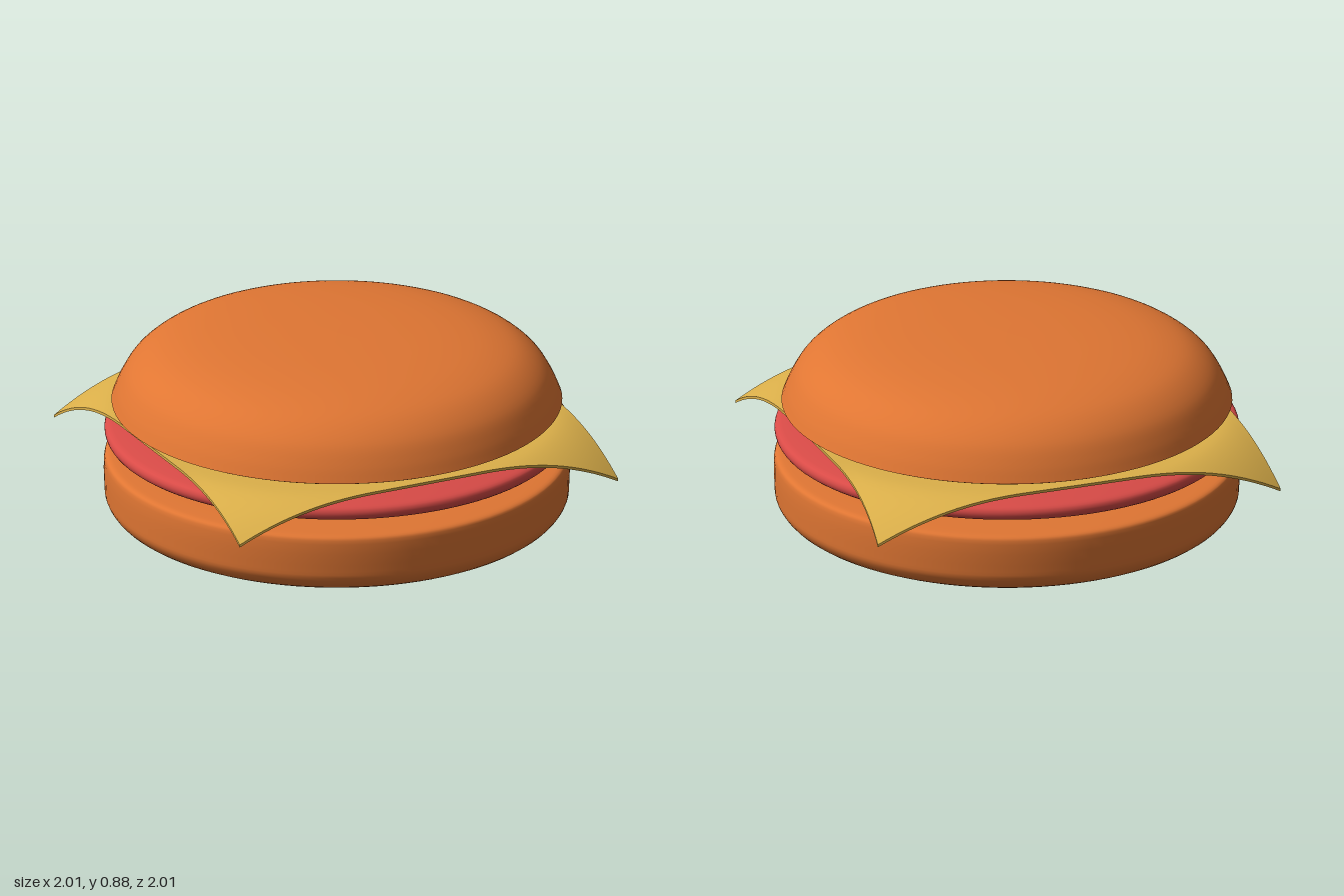
import * as THREE from 'three';

const material = (color) => new THREE.MeshStandardMaterial({ color });

// Smooth curve through a few [radius, y] points.
function curve(points, divisions = 32) {
  const spline = new THREE.CatmullRomCurve3(points.map(([r, y]) => new THREE.Vector3(r, y, 0)), false, 'centripetal');
  return spline.getPoints(divisions).map((p) => new THREE.Vector2(Math.max(p.x, 0), p.y));
}

// A round part made of one lathe per profile piece, so the seams stay sharp.
function roundPart(name, mat, ...profiles) {
  const group = new THREE.Group();
  group.name = name;
  profiles.forEach((points, i) => {
    const mesh = new THREE.Mesh(new THREE.LatheGeometry(curve(points), 96), mat);
    mesh.name = `${name}Surface${i + 1}`;
    group.add(mesh);
  });
  return group;
}

// Thin square slice whose overhanging corners droop, each a little differently.
function cheeseSlice() {
  const geometry = new THREE.BoxGeometry(1.8, 0.012, 1.8, 48, 1, 48);
  const corners = {
    '1,1': [0.012, -0.015, 0.16],
    '-1,1': [0.02, -0.068, 0.16],
    '1,-1': [0.015, 0.065, 0.17],
    '-1,-1': [-0.03, 0.035, 0.17],
  };
  const pos = geometry.attributes.position;
  for (let i = 0; i < pos.count; i++) {
    const x = pos.getX(i), y = pos.getY(i), z = pos.getZ(i);
    const [dx, dz, drop] = corners[`${x < 0 ? -1 : 1},${z < 0 ? -1 : 1}`];
    const w = Math.pow(Math.max(0, (Math.hypot(x, z) - 0.94) / 0.333), 1.7);
    pos.setXYZ(i, x + dx * w, y + 0.509 - drop * w, z + dz * w);
  }
  geometry.computeVertexNormals();
  const mesh = new THREE.Mesh(geometry, material(0xdcb04a));
  mesh.name = 'cheeseSlice';
  return mesh;
}

export function createModel() {
  const model = new THREE.Group();
  model.name = 'burger';
  const bread = material(0xe07633);

  // Bottom bun: rounded underside, straight wall, softly rounded top edge
  model.add(roundPart('bottomBun', bread, [
    [0, 0], [0.4, 0.008], [0.7, 0.024], [0.87, 0.05], [0.96, 0.09], [0.995, 0.135], [1, 0.18],
    [1, 0.31], [0.99, 0.328], [0.95, 0.335], [0.6, 0.341], [0, 0.343],
  ]));

  // Patty: flat disc with a tapered, rounded rim
  model.add(roundPart('patty', material(0xd94b47), [
    [0, 0.346], [0.6, 0.35], [0.82, 0.372], [0.95, 0.4], [0.99, 0.415], [1, 0.44],
    [0.99, 0.463], [0.94, 0.475], [0.8, 0.49], [0.6, 0.499], [0, 0.502],
  ]));

  model.add(cheeseSlice());

  // Top bun: shallow base meeting the dome at a sharp rim
  model.add(roundPart('topBun', bread,
    [[0, 0.543], [0.5, 0.547], [0.8, 0.555], [0.95, 0.562], [0.97, 0.57]],
    [[0.97, 0.57], [0.94, 0.64], [0.89, 0.72], [0.8, 0.79], [0.68, 0.832], [0.5, 0.859], [0.25, 0.873], [0, 0.877]],
  ));

  return model;
}
